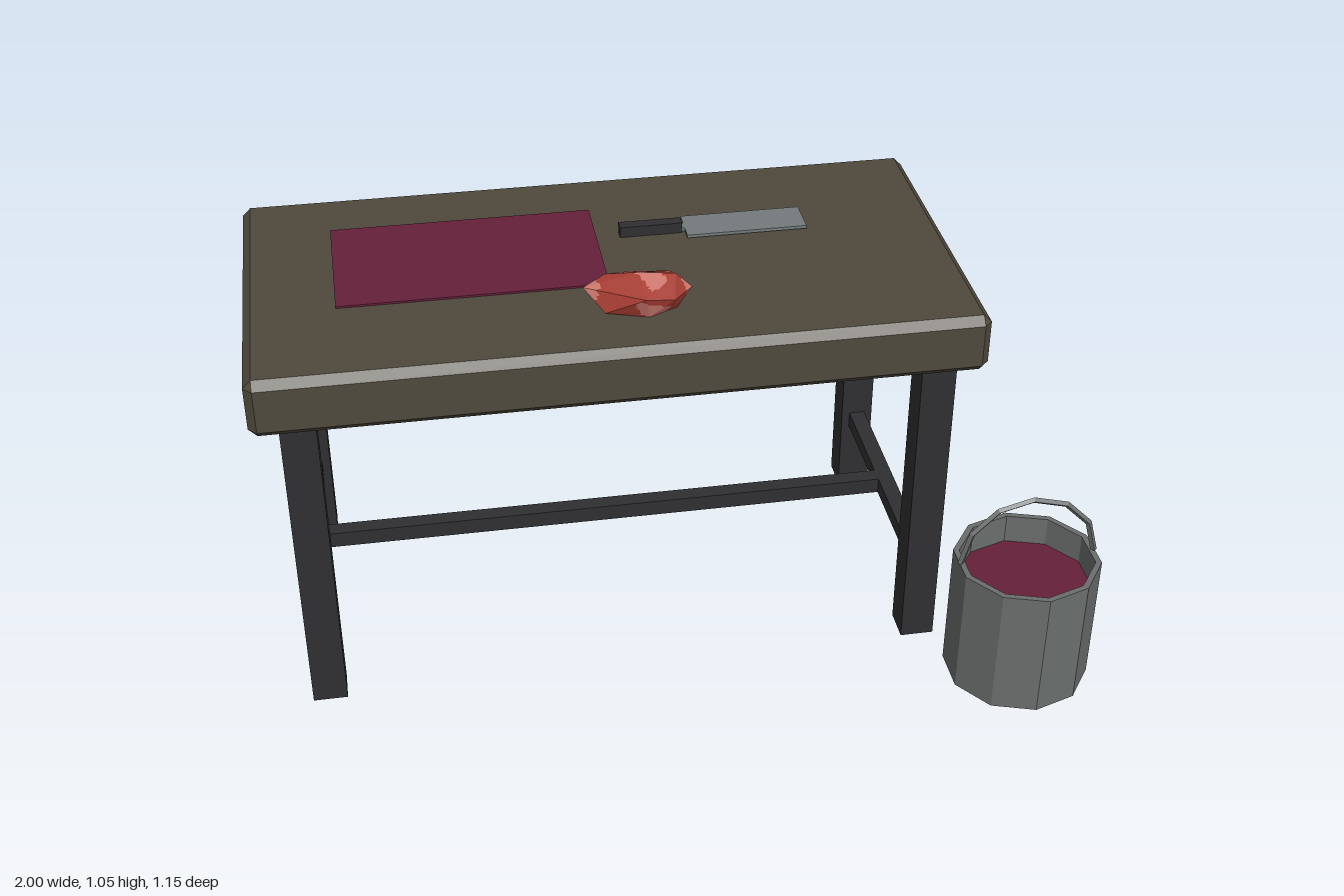
import * as THREE from 'three';
import { ConvexGeometry } from 'three/addons/geometries/ConvexGeometry.js';

const mat = (name, color) => {
  const m = new THREE.MeshStandardMaterial({ color, flatShading: true });
  m.name = name;
  return m;
};
const V = (x, y, z) => new THREE.Vector3(x, y, z);

// Box with a 45 degree chamfer on every edge
function chamferBox(w, h, d, c) {
  const pts = [];
  for (const sx of [-1, 1]) for (const sy of [-1, 1]) for (const sz of [-1, 1]) {
    const x = w / 2, y = h / 2, z = d / 2;
    pts.push(V(sx * x, sy * (y - c), sz * (z - c)),
      V(sx * (x - c), sy * y, sz * (z - c)),
      V(sx * (x - c), sy * (y - c), sz * z));
  }
  return new ConvexGeometry(pts);
}

// Split each triangle into n*n small ones, then sort them into two material groups
function marble(geometry, n, isFat) {
  const p = geometry.attributes.position, sets = [[], []];
  const a = V(), b = V(), c = V();
  for (let i = 0; i < p.count; i += 3) {
    a.fromBufferAttribute(p, i);
    b.fromBufferAttribute(p, i + 1).sub(a);
    c.fromBufferAttribute(p, i + 2).sub(a);
    const at = (u, v) => a.clone().addScaledVector(b, u / n).addScaledVector(c, v / n);
    const add = (...t) => {
      const mid = V().add(t[0]).add(t[1]).add(t[2]).divideScalar(3);
      sets[isFat(mid) ? 1 : 0].push(...t);
    };
    for (let u = 0; u < n; u++) for (let v = 0; v < n - u; v++) {
      add(at(u, v), at(u + 1, v), at(u, v + 1));
      if (u + v < n - 1) add(at(u + 1, v), at(u + 1, v + 1), at(u, v + 1));
    }
  }
  const out = new THREE.BufferGeometry().setFromPoints([...sets[0], ...sets[1]]);
  out.addGroup(0, sets[0].length, 0);
  out.addGroup(sets[0].length, sets[1].length, 1);
  out.computeVertexNormals();
  return out;
}

export function createModel() {
  const model = new THREE.Group();
  const wood = mat('wood', 0x4f493c);
  const iron = mat('dark iron', 0x2f2f31);
  const metal = mat('bucket metal', 0x6a6e6c);
  const steel = mat('blade steel', 0x747b7c);
  const blood = mat('blood', 0x64203a);
  const flesh = mat('meat', 0xa63c32);
  const fat = mat('meat fat', 0xcb766c);

  const put = (parent, name, geometry, material, x = 0, y = 0, z = 0) => {
    const m = new THREE.Mesh(geometry, material);
    m.name = name;
    m.position.set(x, y, z);
    parent.add(m);
    return m;
  };
  const box = (parent, name, material, x0, x1, y0, y1, z0, z1) =>
    put(parent, name, new THREE.BoxGeometry(x1 - x0, y1 - y0, z1 - z0), material,
      (x0 + x1) / 2, (y0 + y1) / 2, (z0 + z1) / 2);
  const group = (name, x = 0, y = 0, z = 0) => {
    const g = new THREE.Group();
    g.name = name;
    g.position.set(x, y, z);
    model.add(g);
    return g;
  };

  // Table, with an H-shaped stretcher between the legs
  const table = group('table', -0.143, 0, -0.143);
  put(table, 'tableTop', chamferBox(1.715, 0.148, 0.855, 0.02), wood, 0, 0.889, 0);
  for (const sx of [-1, 1]) {
    const x = sx * 0.75;
    for (const sz of [-1, 1]) {
      put(table, 'leg', new THREE.BoxGeometry(0.084, 0.816, 0.084), iron, x, 0.408, sz * 0.343);
    }
    put(table, 'sideRail', new THREE.BoxGeometry(0.042, 0.042, 0.602), iron, x, 0.215, 0);
  }
  put(table, 'longRail', new THREE.BoxGeometry(1.46, 0.042, 0.042), iron, 0, 0.215, 0);

  // Stained sheet lying on the table
  box(model, 'stainedSheet', blood, -0.785, -0.14, 0.962, 0.968, -0.39, -0.015);

  // Cleaver
  const cleaver = group('cleaver');
  box(cleaver, 'blade', steel, 0.08, 0.38, 0.967, 0.975, -0.305, -0.205);
  box(cleaver, 'tang', steel, 0.07, 0.085, 0.967, 0.975, -0.268, -0.242);
  box(cleaver, 'handle', iron, -0.082, 0.073, 0.964, 0.991, -0.27, -0.24);

  // Lump of meat, marbled with fat
  const lump = new ConvexGeometry([
    V(-0.215, 1.01, 0.065), V(-0.185, 0.975, 0.05), V(-0.16, 1.03, 0.045), V(-0.17, 0.968, 0.12),
    V(-0.09, 1.0, -0.01), V(-0.08, 0.963, -0.005), V(0.0, 0.998, 0.0), V(0.03, 0.968, 0.03),
    V(0.04, 1.0, 0.085), V(0.0, 1.042, 0.09), V(-0.085, 1.05, 0.085), V(-0.08, 1.02, 0.165),
    V(-0.01, 1.0, 0.14), V(-0.07, 0.963, 0.145), V(0.0, 0.963, 0.11),
  ]);
  const isFat = (p) =>
    Math.sin(p.x * 58 + 2 * Math.sin(p.z * 40)) + Math.sin(p.z * 62 + p.y * 45 + p.x * 20) > 0.75;
  put(model, 'meat', marble(lump, 10, isFat), [flesh, fat]);

  // Ten-sided bucket, filled, with a hoop handle
  const bucket = group('bucket', 0.82, 0, 0.395);
  const profile = [[0, 0], [0.18, 0], [0.18, 0.342], [0.165, 0.342], [0.165, 0.25]]
    .map(([r, y]) => new THREE.Vector2(r, y));
  put(bucket, 'bucketBody', new THREE.LatheGeometry(profile, 10), metal);
  put(bucket, 'bucketContents', new THREE.CylinderGeometry(0.166, 0.166, 0.01, 10), blood, 0, 0.26, 0);
  put(bucket, 'bucketHandle', new THREE.TorusGeometry(0.169, 0.008, 4, 6, Math.PI), metal, 0, 0.342, 0);

  return model;
}
